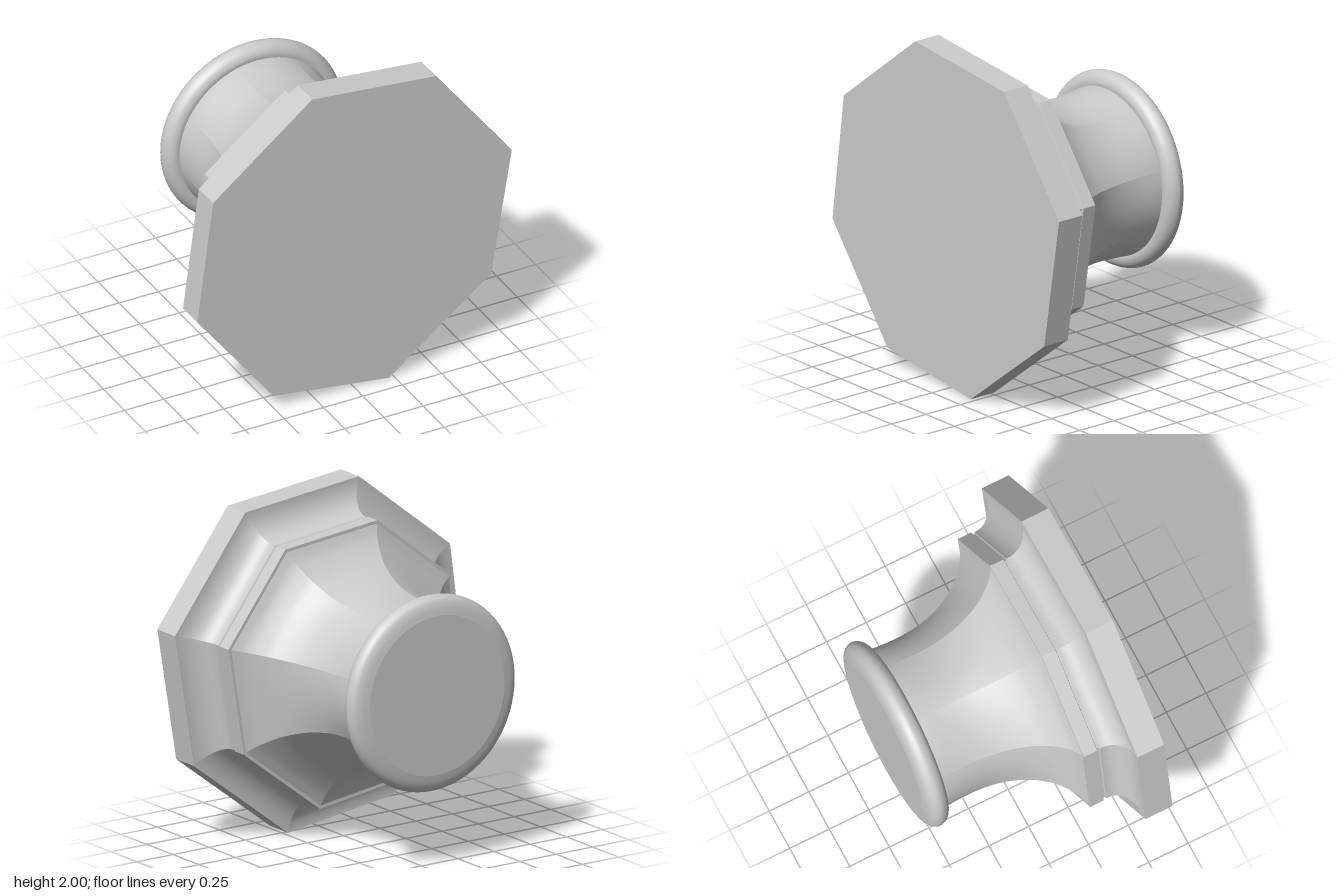
import * as THREE from 'three';
import { mergeGeometries } from 'three/addons/utils/BufferGeometryUtils.js';

// Slightly irregular octagon, clockwise from the top, about its own centre
const CY = 1.005;
const corners = [
  [-0.27, 2.0], [0.515, 1.92], [1.0, 1.28], [0.87, 0.5],
  [0.22, 0.0], [-0.515, 0.1], [-1.0, 0.735], [-0.9, 1.5],
].map(([x, y]) => new THREE.Vector2(x, y - CY));

const material = new THREE.MeshStandardMaterial({ color: 0xcccccc });

// Sweeps rows of { z, size, round } around the octagon; each of the eight
// panels has its own vertices so the corners stay crisp.
// round blends the section from octagon (0) to circle (1).
function loft(rows, cols) {
  const panels = corners.map((a, k) => {
    const b = corners[(k + 1) % corners.length];
    const pos = [], index = [];
    rows.forEach(({ z, size, round = 0 }, j) => {
      for (let i = 0; i <= cols; i++) {
        const p = a.clone().lerp(b, i / cols);
        p.lerp(p.clone().normalize(), round).multiplyScalar(size);
        pos.push(p.x, p.y + CY + 0.025 * round, z);
        if (j && i) {
          const q = j * (cols + 1) + i, r = q - cols - 1;
          index.push(r - 1, r, q, r - 1, q, q - 1);
        }
      }
    });
    const g = new THREE.BufferGeometry();
    g.setAttribute('position', new THREE.Float32BufferAttribute(pos, 3));
    g.setIndex(index);
    g.computeVertexNormals();
    return g;
  });
  return mergeGeometries(panels);
}

// Sharp-edged steps: every pair of neighbouring points becomes its own strip
function steps(points) {
  const strips = points.slice(1).map(([z, size], i) =>
    loft([{ z: points[i][0], size: points[i][1] }, { z, size }], 1));
  return mergeGeometries(strips);
}

export function createModel() {
  const group = new THREE.Group();
  const add = (name, geometry, mat = material) => {
    const mesh = new THREE.Mesh(geometry, mat);
    mesh.name = name;
    group.add(mesh);
    return mesh;
  };

  // Octagonal base plate: flat face, rim and narrow back ledge
  const face = new THREE.ShapeGeometry(new THREE.Shape(corners));
  face.translate(0, CY, 0.65);
  add('baseFace', face);
  add('baseRim', steps([[0.65, 1], [0.48, 1], [0.48, 0.985]]));

  // Concave moulding behind the plate
  const cove = [];
  for (let i = 0; i <= 12; i++) {
    const a = (i / 12) * Math.PI / 2;
    cove.push({ z: 0.345 + 0.135 * Math.cos(a), size: 0.985 - 0.18 * Math.sin(a) });
  }
  add('cove', loft(cove, 1));

  // Fine groove and flat band
  add('grooveAndBand', steps([
    [0.345, 0.805], [0.333, 0.805], [0.329, 0.795], [0.319, 0.795],
    [0.315, 0.81], [0.23, 0.81], [0.23, 0.79],
  ]));

  // Flared neck, octagonal at the band and round at the collar
  const flare = new THREE.CatmullRomCurve3([
    [0.23, 0.79], [0.2, 0.725], [0.15, 0.66], [0.1, 0.61], [0, 0.548],
    [-0.1, 0.51], [-0.22, 0.485], [-0.35, 0.48], [-0.53, 0.492],
  ].map(([z, r]) => new THREE.Vector3(r, 0, z)));
  const neck = flare.getPoints(40).map((p) => ({
    z: p.z, size: p.x, round: Math.min(1, (0.23 - p.z) / 0.7),
  }));
  add('neck', loft(neck, 10));

  // Rounded collar with a flat end
  const bead = new THREE.SplineCurve([
    [0.47, 0.52], [0.515, 0.515], [0.553, 0.535], [0.572, 0.578],
    [0.557, 0.618], [0.52, 0.639], [0.465, 0.65],
  ].map(([r, h]) => new THREE.Vector2(r, h)));
  const collar = new THREE.LatheGeometry(bead.getPoints(36), 72);
  collar.rotateX(-Math.PI / 2);
  add('collar', collar).position.y = 1.03;

  const end = new THREE.CircleGeometry(0.465, 72);
  end.rotateY(Math.PI);
  add('endDisc', end).position.set(0, 1.03, -0.65);

  return group;
}
